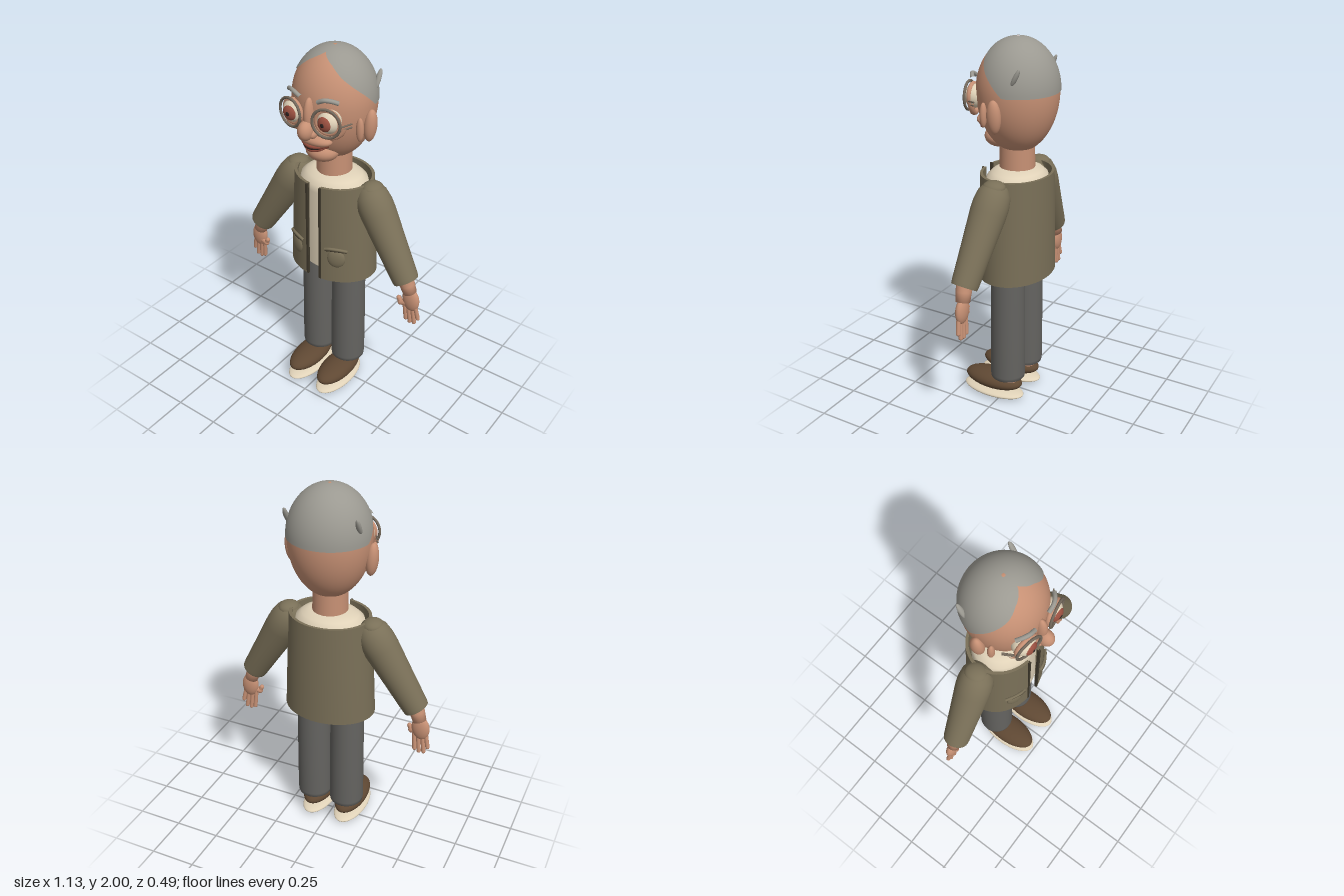
import * as THREE from 'three';

const mat = (name, color, side = THREE.FrontSide) => {
  const m = new THREE.MeshStandardMaterial({ color, side });
  m.name = name;
  return m;
};
const skin = mat('skin', 0xc69074);
const hairGrey = mat('grey hair', 0x9b9991);
const olive = mat('olive jacket', 0x7a7058, THREE.DoubleSide);
const trim = mat('dark trim', 0x40392c);
const trouser = mat('grey trousers', 0x646360);
const cream = mat('cream', 0xe0d2b8);
const shoeBrown = mat('brown leather', 0x5f4833);
const frame = mat('spectacle frame', 0x74695c);
const lipRed = mat('lip and iris red', 0x9a5040);
const dark = mat('pupil black', 0x2b2220);

const V = (x, y, z) => new THREE.Vector3(x, y, z);

export function createModel() {
  const root = new THREE.Group();
  root.name = 'figure';

  const add = (name, geo, material, x = 0, y = 0, z = 0) => {
    const m = new THREE.Mesh(geo, material);
    m.name = name;
    m.position.set(x, y, z);
    root.add(m);
    return m;
  };
  // ellipsoid
  const ball = (name, material, [x, y, z], [rx, ry, rz], [ax, ay, az] = [0, 0, 0]) => {
    const m = add(name, new THREE.SphereGeometry(1, 32, 20), material, x, y, z);
    m.scale.set(rx, ry, rz);
    m.rotation.set(ax, ay, az);
    return m;
  };
  // turned profile; a third entry marks a sharp corner
  const lathe = (pts, start = 0, len = Math.PI * 2) => new THREE.LatheGeometry(
    pts.flatMap(([r, y, c]) => Array.from({ length: c ? 2 : 1 }, () => new THREE.Vector2(r, y))), 48, start, len);
  // points a mesh's y axis from a to b
  const aim = (m, a, b) => {
    m.position.copy(a);
    m.quaternion.setFromUnitVectors(V(0, 1, 0), b.clone().sub(a).normalize());
    return m;
  };
  // rounded rod between two points
  const rod = (name, material, a, b, r) => {
    const g = new THREE.CapsuleGeometry(r, a.distanceTo(b), 6, 12);
    g.translate(0, a.distanceTo(b) / 2, 0);
    return aim(add(name, g, material), a, b);
  };
  const tube = (name, material, pts, r) => add(name,
    new THREE.TubeGeometry(new THREE.CatmullRomCurve3(pts), 24, r, 10), material);

  // head: two half ellipsoids meeting at the temples
  const HY = 1.74, HZ = -0.037;
  const head = new THREE.SphereGeometry(1, 48, 40);
  const hp = head.attributes.position;
  for (let i = 0; i < hp.count; i++) {
    hp.setXYZ(i, hp.getX(i) * 0.213, hp.getY(i) * (hp.getY(i) > 0 ? 0.258 : 0.32), hp.getZ(i) * 0.208);
  }
  head.computeVertexNormals();
  add('head', head, skin, 0, HY, HZ);

  // hair: cap whose edge follows a receding hairline
  const line = [[0, 20], [15, 29], [30, 38], [45, 52], [60, 62.5], [79, 75.5], [98, 90], [180, 90]];
  const edge = (deg) => {
    const k = Math.max(1, line.findIndex((p) => p[0] >= deg));
    const [a, b] = [line[k - 1], line[k]];
    return THREE.MathUtils.degToRad(THREE.MathUtils.mapLinear(deg, a[0], b[0], a[1], b[1]));
  };
  const U = 96, W = 24, pos = [], idx = [];
  for (let j = 0; j <= W; j++) {
    for (let i = 0; i < U; i++) {
      const phi = (i / U) * Math.PI * 2;
      const deg = THREE.MathUtils.radToDeg(Math.min(phi, Math.PI * 2 - phi));
      const t = 0.04 + (edge(deg) - 0.04) * (j / W);
      pos.push(Math.sin(t) * Math.sin(phi) * 0.217, Math.cos(t) * 0.262, Math.sin(t) * Math.cos(phi) * 0.212);
      if (j < W) {
        const a = j * U + i, b = j * U + (i + 1) % U;
        idx.push(a, a + U, b, b, a + U, b + U);
      }
    }
  }
  const hair = new THREE.BufferGeometry();
  hair.setAttribute('position', new THREE.Float32BufferAttribute(pos, 3));
  hair.setIndex(idx);
  hair.computeVertexNormals();
  add('hair', hair, hairGrey, 0, HY, HZ);
  ball('crown spot', skin, [0, 1.996, HZ], [0.016, 0.005, 0.016]);

  // nose, muzzle and chin
  ball('noseBridge', skin, [0, 1.715, 0.17], [0.026, 0.09, 0.034]);
  ball('noseTip', skin, [0, 1.645, 0.2], [0.038, 0.05, 0.045]);
  ball('upperLip', skin, [0, 1.575, 0.125], [0.098, 0.035, 0.055]);
  ball('chin', skin, [0, 1.488, 0.065], [0.088, 0.057, 0.08]);
  const smile = (w, y, z, up) => [-1, -0.5, 0, 0.5, 1].map((t) => V(t * w, y + up * t * t, z - 0.045 * t * t));
  tube('upperLipEdge', lipRed, smile(0.08, 1.549, 0.168, 0.012), 0.011);
  tube('mouthLine', dark, smile(0.076, 1.539, 0.172, 0.018), 0.006);
  tube('lowerLip', lipRed, smile(0.07, 1.529, 0.163, 0.024), 0.012);

  // jacket body, open at the front
  const gap = 0.18;
  const jacket = add('jacketBody', lathe([[0.172, 0.757, 1], [0.189, 0.757, 1], [0.187, 1.0], [0.182, 1.315, 1],
    [0.168, 1.315, 1], [0.172, 0.757]], gap, Math.PI * 2 - gap * 2), olive, 0, 0, -0.035);
  jacket.scale.x = 1.3;
  const jp = jacket.geometry.attributes.position;
  for (let i = 0; i < jp.count; i++) {
    jp.setX(i, jp.getX(i) * THREE.MathUtils.mapLinear(jp.getY(i), 0.757, 1.315, 1.01, 0.92));
  }

  // shirt and neck
  const shirt = add('shirt', lathe([[0, 0.79], [0.14, 0.79, 1], [0.158, 0.81], [0.158, 1.26], [0.15, 1.295],
    [0.125, 1.32], [0.09, 1.34], [0, 1.345]]), cream, 0, 0, -0.035);
  shirt.scale.x = 1.2;
  add('neck', new THREE.CylinderGeometry(0.089, 0.093, 0.16, 40), skin, 0, 1.4, -0.033);

  for (const s of [1, -1]) {
    const n = (part) => (s > 0 ? 'left ' : 'right ') + part;

    // ears and hair tuft
    ball(n('ear'), skin, [s * 0.217, 1.645, -0.025], [0.032, 0.086, 0.037], [0, 0, -s * 0.08]);
    ball(n('earFront'), skin, [s * 0.203, 1.645, 0.042], [0.02, 0.062, 0.018]);
    ball(n('hairTuft'), hairGrey, [s * 0.188, 1.842, -0.127], [0.014, 0.05, 0.012], [-0.48, 0, 0]);

    // eyes and brows
    const ex = s * 0.102, ey = 1.705;
    ball(n('eye'), cream, [ex, ey, 0.148], [0.06, 0.06, 0.056]);
    ball(n('iris'), lipRed, [ex, ey, 0.188], [0.038, 0.038, 0.021]);
    ball(n('pupil'), dark, [ex, ey, 0.203], [0.014, 0.014, 0.008]);
    const lid = add(n('eyelid'), new THREE.TorusGeometry(0.058, 0.012, 12, 40), skin, ex, ey, 0.163);
    const rim = add(n('spectacleRim'), new THREE.TorusGeometry(0.072, 0.007, 10, 48), frame, s * 0.106, ey, 0.182);
    lid.rotation.y = rim.rotation.y = s * 0.2;
    const bag = add(n('eyeBag'), new THREE.TorusGeometry(0.074, 0.015, 10, 32, Math.PI * 0.9), skin, ex, ey - 0.008, 0.15);
    bag.rotation.set(0, s * 0.25, Math.PI * 1.05);
    for (const y of [1.69, 1.673]) {
      rod(n('spectacleArm'), frame, V(s * 0.165, y, 0.15), V(s * 0.195, y + 0.008, 0.1), 0.004);
    }
    const brow = tube(n('eyebrow'), hairGrey, [V(s * 0.052, 1.797, 0.172), V(s * 0.09, 1.815, 0.17),
      V(s * 0.12, 1.813, 0.155), V(s * 0.145, 1.802, 0.135)], 0.011);
    brow.renderOrder = 0;
    ball(n('nostril'), skin, [s * 0.03, 1.628, 0.18], [0.018, 0.022, 0.025]);

    // jacket front edge and pocket
    add(n('jacketEdge'), new THREE.BoxGeometry(0.012, 0.555, 0.014), trim, s * 0.04, 1.036, 0.146);
    ball(n('pocket'), olive, [s * 0.125, 0.905, 0.122], [0.048, 0.055, 0.018], [0, s * 0.38, 0]);
    tube(n('pocketFlap'), olive, [V(s * 0.07, 0.957, 0.146), V(s * 0.1, 0.967, 0.143),
      V(s * 0.14, 0.967, 0.126), V(s * 0.178, 0.957, 0.1)], 0.008);
    tube(n('pocketSeam'), trim, [V(s * 0.072, 0.951, 0.149), V(s * 0.1, 0.958, 0.147),
      V(s * 0.14, 0.958, 0.129), V(s * 0.176, 0.951, 0.103)], 0.004);

    // sleeve and shoulder
    const cuff = V(s * 0.476, 0.845, -0.004), shoulder = V(s * 0.22, 1.27, -0.033);
    aim(add(n('sleeve'), lathe([[0, 0.006], [0.055, 0.006, 1], [0.067, 0, 1], [0.07, 0.02], [0.081, 0.2],
      [0.093, 0.38], [0.093, 0.43], [0.084, 0.485], [0.06, 0.525], [0.03, 0.543], [0, 0.548]]), olive), cuff, shoulder);
    ball(n('shoulderJoint'), olive, [s * 0.235, 1.295, -0.035], [0.055, 0.035, 0.06]);

    // wrist, palm, thumb and fingers
    const wrist = lathe([[0, 0], [0.036, 0], [0.04, 0.05], [0.045, 0.14]]);
    aim(add(n('wrist'), wrist, skin), V(s * 0.5, 0.775, -0.01), cuff);
    ball(n('palm'), skin, [s * 0.508, 0.73, -0.01], [0.049, 0.07, 0.027], [0, 0, s * 0.1]);
    rod(n('thumbBase'), skin, V(s * 0.485, 0.705, -0.004), V(s * 0.455, 0.698, 0), 0.017);
    rod(n('thumbTip'), skin, V(s * 0.455, 0.698, 0), V(s * 0.443, 0.722, 0.002), 0.013);
    [[0.474, 0.482, 0.595], [0.496, 0.507, 0.584], [0.519, 0.533, 0.588], [0.54, 0.554, 0.622]].forEach(([x0, x1, y]) =>
      rod(n('finger'), skin, V(s * x0, 0.69, -0.008), V(s * x1, y, -0.014), 0.0115));

    // trouser leg, ankle and shoe
    add(n('trouserLeg'), lathe([[0, 0.137], [0.08, 0.137], [0.092, 0.143], [0.095, 0.165], [0.094, 0.4],
      [0.09, 0.76], [0.085, 0.84], [0, 0.85]]), trouser, s * 0.0985, 0, -0.033);
    add(n('ankle'), new THREE.CylinderGeometry(0.05, 0.05, 0.08, 24), skin, s * 0.0985, 0.115, -0.045);
    ball(n('shoe'), shoeBrown, [s * 0.0985, 0.093, 0.058], [0.084, 0.052, 0.174]);
    ball(n('sole'), cream, [s * 0.0985, 0.025, 0.058], [0.086, 0.025, 0.184]);
  }
  return root;
}
